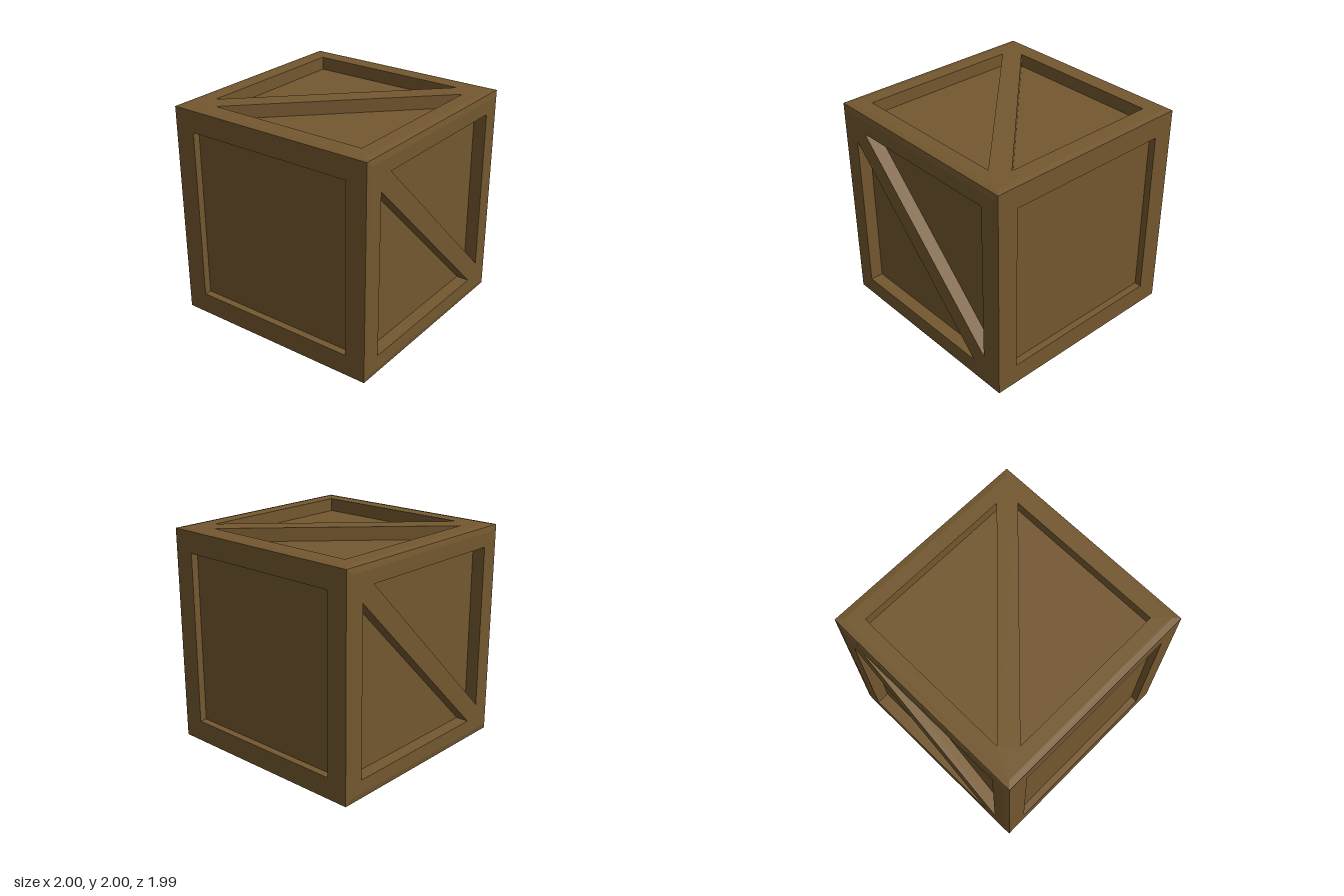
import * as THREE from 'three';

const wood = new THREE.MeshStandardMaterial({ color: 0x73572f });
wood.name = 'brown wood';

// Square frame outline, cut by the given holes
function panelGeometry(half, holes, depth, face) {
  const shape = new THREE.Shape(
    [[-half, -half], [half, -half], [half, half], [-half, half]].map(p => new THREE.Vector2(...p)));
  for (const h of holes) shape.holes.push(new THREE.Path(h.map(p => new THREE.Vector2(...p))));
  return new THREE.ExtrudeGeometry(shape, { depth, bevelEnabled: false })
    .translate(0, 0, face - depth);
}

// Shallow sloping border around a braced panel
function rimGeometry() {
  const g = new THREE.CylinderGeometry(0.94 * Math.SQRT2, 0.99 * Math.SQRT2, 0.01, 4, 1, true)
    .rotateY(Math.PI / 4).rotateX(Math.PI / 2).translate(0, 0, 0.995).toNonIndexed();
  g.computeVertexNormals();
  return g;
}

function part(name, geometry) {
  const mesh = new THREE.Mesh(geometry, wood);
  mesh.name = name;
  return mesh;
}

// Two triangular recesses leave a diagonal brace between them
const A = 0.815, B = 0.688;
const triangles = [
  [[-B, A], [A, A], [A, -B]],
  [[-A, B], [-A, -A], [B, -A]],
];

function bracedPanel(name, turn, rx, ry) {
  const group = new THREE.Group();
  group.name = name;
  group.add(
    part(name + 'Brace', panelGeometry(0.94, triangles, 0.12, 1).rotateZ(turn)),
    part(name + 'Rim', rimGeometry()));
  group.rotation.set(rx, ry, 0);
  return group;
}

function plainPanel(name, ry) {
  const s = 0.795;
  const mesh = part(name, panelGeometry(0.99, [[[-s, -s], [-s, s], [s, s], [s, -s]]], 0.065, 0.995));
  mesh.rotation.y = ry;
  return mesh;
}

export function createModel() {
  const model = new THREE.Group();
  model.name = 'crate';
  const q = Math.PI / 2;
  const body = new THREE.Group();
  body.name = 'crateBody';
  body.position.y = 1;
  body.add(
    // Inner box forms the floors of all recesses
    part('innerBox', new THREE.BoxGeometry(1.76, 1.76, 1.86)),
    plainPanel('frontPanel', 0),
    plainPanel('backPanel', Math.PI),
    bracedPanel('leftPanel', 0, 0, q),
    bracedPanel('rightPanel', 0, 0, -q),
    bracedPanel('topPanel', q, -q, 0),
    bracedPanel('bottomPanel', q, q, 0));
  model.add(body);
  return model;
}
